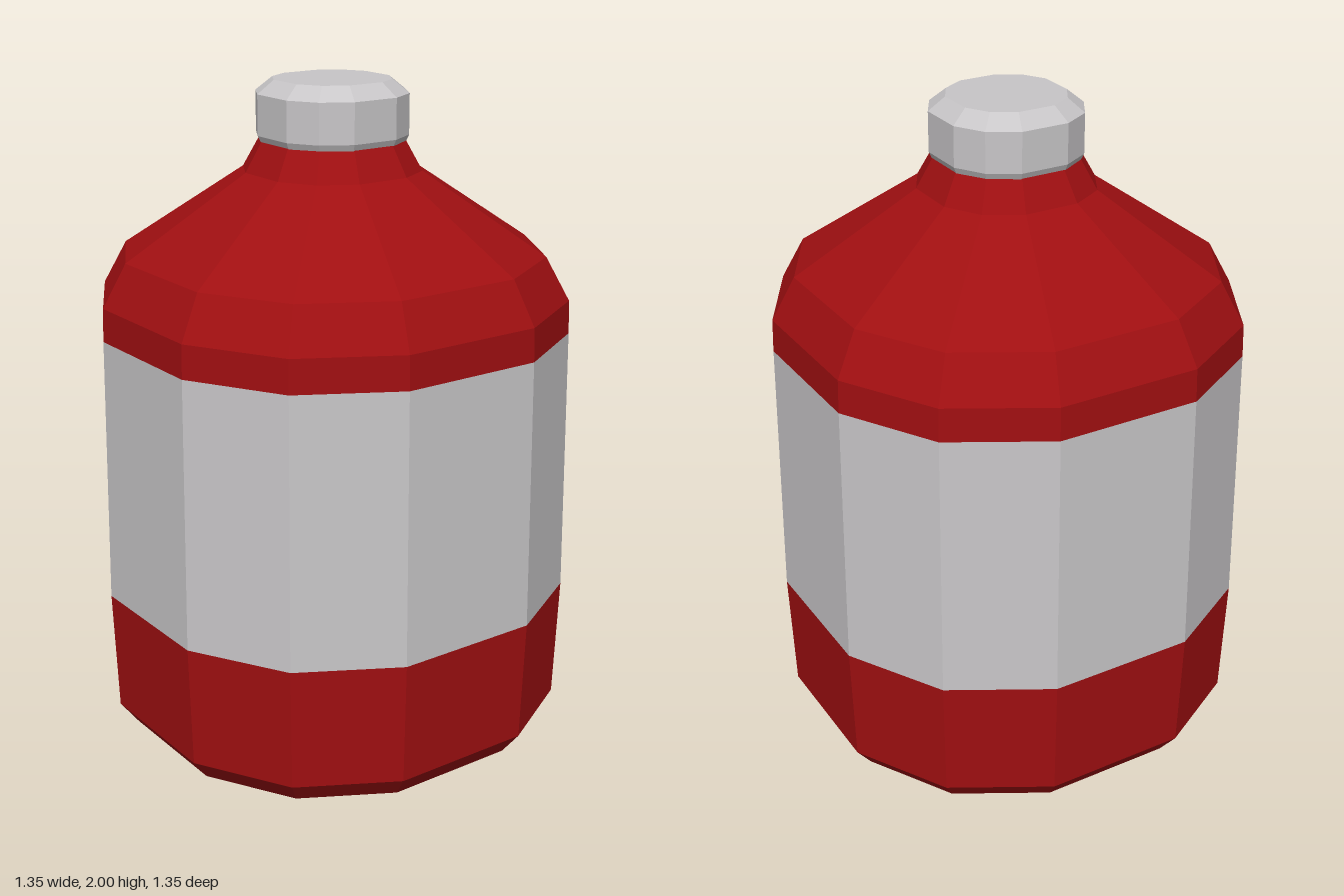
import * as THREE from 'three';

const red = new THREE.MeshStandardMaterial({ color: 0xa00f11 });
red.name = 'bottle red';
const grey = new THREE.MeshStandardMaterial({ color: 0xc8c6c8 });
grey.name = 'light grey';

// Twelve-sided faceted shell. The profile lists [half-width, height] from bottom to top;
// k is the half-length of the four wide sides as a share of the half-width.
function facetedShell(name, profile, material, k = 0.335) {
  const c = 0.76;
  const quarter = [[k, 1], [c, c], [1, k]];
  const ring = [];
  for (let q = 0; q < 4; q++) {
    for (const [x, z] of quarter) {
      const p = new THREE.Vector2(x, z).rotateAround(new THREE.Vector2(), -q * Math.PI / 2);
      ring.push(p);
    }
  }
  const n = profile.length;
  const lathe = new THREE.LatheGeometry(profile.map(p => new THREE.Vector2(p[0], p[1])), ring.length);
  const pos = lathe.attributes.position;
  for (let i = 0; i < pos.count; i++) {
    const corner = ring[Math.floor(i / n) % ring.length];
    const [w, y] = profile[i % n];
    pos.setXYZ(i, corner.x * w, y, corner.y * w);
  }
  const geometry = lathe.toNonIndexed();
  geometry.computeVertexNormals();
  const mesh = new THREE.Mesh(geometry, material);
  mesh.name = name;
  return mesh;
}

export function createModel() {
  const bottle = new THREE.Group();
  bottle.name = 'bottle';

  // Base with bevelled foot
  bottle.add(facetedShell('lowerBody', [[0, 0], [0.61, 0], [0.662, 0.07], [0.675, 0.445]], red));

  // Plain band around the middle
  bottle.add(facetedShell('labelBand', [[0.675, 0.445], [0.665, 1.26]], grey));

  // Sloping shoulder and neck
  bottle.add(facetedShell('shoulder',
    [[0.665, 1.26], [0.662, 1.36], [0.595, 1.49], [0.25, 1.735], [0.2, 1.83]], red));

  // Screw cap with bevelled rims
  bottle.add(facetedShell('cap',
    [[0, 1.82], [0.203, 1.82], [0.212, 1.84], [0.212, 1.96], [0.165, 2], [0, 2]], grey, 0.35));

  return bottle;
}
